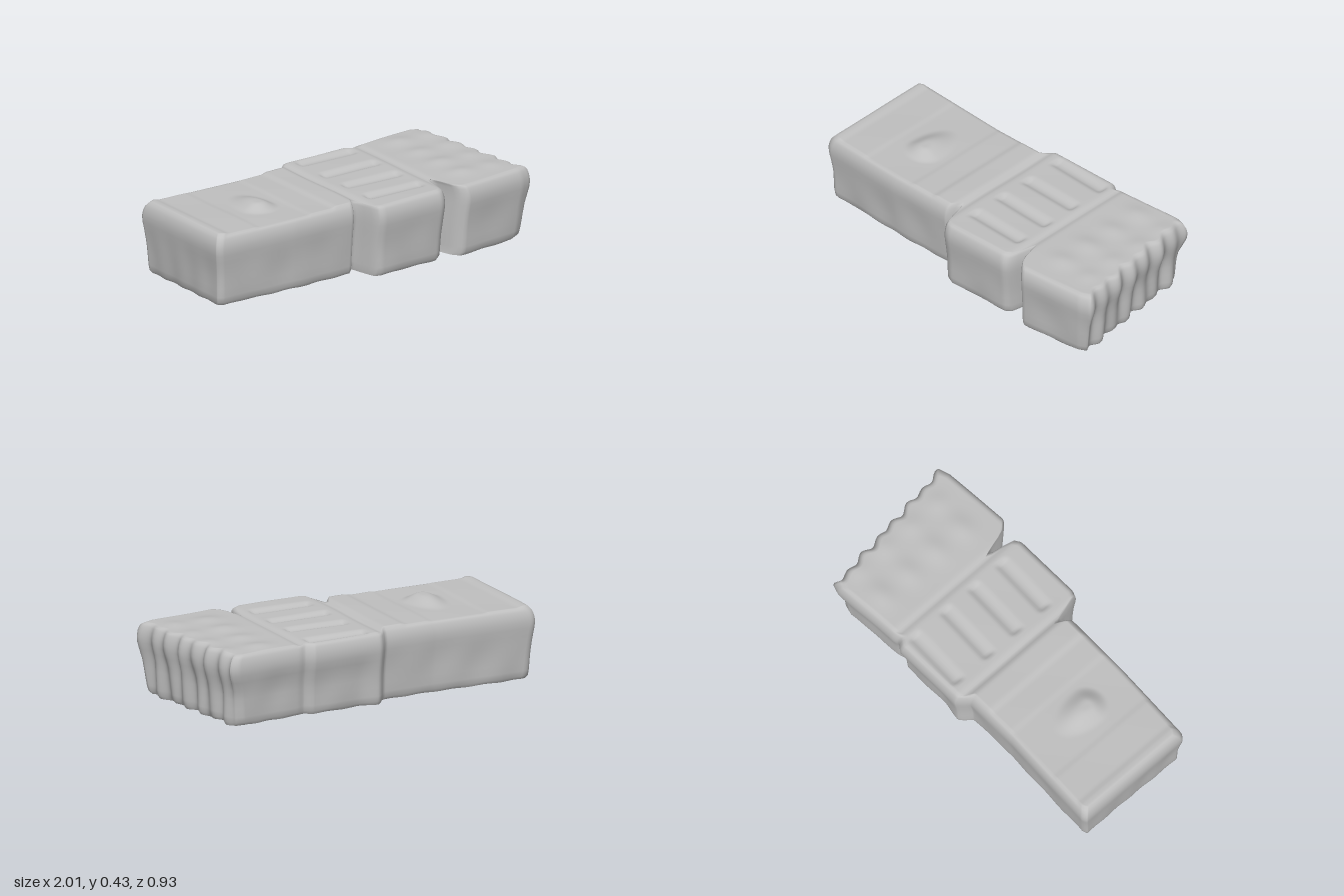
import * as THREE from 'three';

const { smoothstep, lerp } = THREE.MathUtils;

// Piecewise-linear lookup in [x, value] pairs
function lookup(points, x) {
  for (let i = 1; i < points.length; i++) {
    const [x0, v0] = points[i - 1], [x1, v1] = points[i];
    if (x <= x1) return lerp(v0, v1, Math.max(0, (x - x0) / (x1 - x0)));
  }
  return points[points.length - 1][1];
}

// Plan outline: three blocks along x, with notches between them
const X0 = -0.998, X1 = 0.95;
const frontEdge = [[-1, 0.335], [-0.975, 0.355], [-0.5, 0.36], [-0.11, 0.35], [-0.07, 0.28], [-0.05, 0.36],
  [-0.025, 0.45], [0.01, 0.463], [0.4, 0.445], [0.435, 0.42], [0.465, 0.25], [0.49, 0.33], [0.515, 0.42],
  [0.555, 0.46], [0.9, 0.418], [0.95, 0.395]];
const backEdge = [[-1, -0.345], [-0.975, -0.36], [-0.4, -0.352], [-0.09, -0.365], [-0.06, -0.4], [-0.035, -0.424],
  [0.38, -0.443], [0.42, -0.415], [0.46, -0.428], [0.9, -0.468], [0.95, -0.455]];

const bell = (d, width) => Math.exp(-(d * d) / (width * width));
const band = (v, c, half, soft) => 1 - smoothstep(Math.abs(v - c), half - soft, half + soft);

// Height of the upper surface
function topHeight(x, z) {
  let y = 0.4 + 0.002 * Math.sin(9 * x + 2) * Math.sin(11 * z);
  // long block: raised end strips and a lopsided knob, steep towards the front
  y += 0.008 * (band(x, -0.95, 0.03, 0.02) + band(x, -0.15, 0.07, 0.02));
  y -= 0.004 * band(x, -0.55, 0.17, 0.015);
  const knob = Math.hypot((x + 0.54) / 0.12, (z - 0.07) / (z > 0.07 ? 0.11 : 0.23));
  y += 0.037 * (1 - smoothstep(knob, 0.15, 1));
  // seams between the blocks
  y -= 0.01 * (bell(x + 0.055, 0.02) + bell(x - 0.44, 0.02));
  // middle block: four slots
  for (const c of [-0.345, -0.125, 0.075, 0.275])
    y -= 0.016 * band(z, c, 0.03, 0.022) * band(x, 0.2, 0.175, 0.015);
  // end block: rows of low pads
  for (const c of [-0.32, -0.13, 0.06, 0.25])
    y += 0.011 * bell(z - c, 0.06) * (bell(x - 0.66, 0.08) + 0.7 * bell(x - 0.85, 0.06));
  return y;
}

// Point in plan for u, t in 0..1, inset by o from the outline
function plan(u, t, o, y) {
  const xb = lerp(X0, X1, u);
  const low = 1 - smoothstep(y, 0.18, 0.3);
  // the lip overhangs along the back of the two wider blocks
  const backInset = o + 0.014 * low * smoothstep(xb, -0.04, 0.1);
  const z = lerp(lookup(backEdge, xb) + backInset, lookup(frontEdge, xb) - o, t);
  // slanted, lumpy far end, recessed below its lip
  const slant = smoothstep(xb, 0.5, X1);
  const lump = 0.011 * (Math.sin(z * 52 + 1) + 0.5 * Math.sin(z * 31 + y * 8) - 0.6);
  const x = lerp(X0 + o, X1 - o, u) + slant * 0.13 * z + Math.pow(slant, 6) * (lump - 0.014 * low);
  return [x, z];
}

function shellGeometry() {
  const nx = 150, nz = 70, pos = [], index = [];
  const id = (i, j) => i * (nz + 1) + j;

  // top surface
  for (let i = 0; i <= nx; i++) for (let j = 0; j <= nz; j++) {
    const [x, z] = plan(i / nx, j / nz, 0.034, 0.4);
    pos.push(x, topHeight(x, z), z);
    if (i < nx && j < nz) {
      index.push(id(i, j), id(i, j + 1), id(i + 1, j));
      index.push(id(i, j + 1), id(i + 1, j + 1), id(i + 1, j));
    }
  }

  // rim of the top, walked once around
  const rim = [];
  for (let j = 0; j < nz; j++) rim.push([0, j]);
  for (let i = 0; i < nx; i++) rim.push([i, nz]);
  for (let j = nz; j > 0; j--) rim.push([nx, j]);
  for (let i = nx; i > 0; i--) rim.push([i, 0]);

  // side walls: rings of [inset, height] going down to the open bottom
  const rings = [[0.021, 0.393], [0.012, 0.38], [0.004, 0.355], [0, 0.325], [0.002, 0.29], [0.007, 0.25],
    [0.012, 0.2], [0.016, 0.15], [0.019, 0.1], [0.022, 0.05], [0.026, 0.02], [0.038, 0]];
  let above = rim.map(([i, j]) => id(i, j));
  for (const [inset, y] of rings) {
    const ring = rim.map(([i, j]) => {
      const u = i / nx, t = j / nz;
      const wave = Math.sin(u * 29 + t * 5) * Math.cos(y * 15 + u * 7) + 0.6 * Math.sin(u * 47 + t * 23);
      const o = inset + 0.003 * (1 + wave) * (1 - smoothstep(y, 0.12, 0.33));
      const [x, z] = plan(u, t, o, y);
      const ragged = y > 0 ? 0 : 0.002 * (1 + Math.sin(u * 60 + t * 25));
      pos.push(x, y + ragged, z);
      return pos.length / 3 - 1;
    });
    for (let k = 0; k < ring.length; k++) {
      const n = (k + 1) % ring.length;
      index.push(above[k], ring[k], above[n], ring[k], ring[n], above[n]);
    }
    above = ring;
  }

  const geometry = new THREE.BufferGeometry();
  geometry.setAttribute('position', new THREE.Float32BufferAttribute(pos, 3));
  geometry.setIndex(index);
  geometry.computeVertexNormals();
  return geometry;
}

export function createModel() {
  const group = new THREE.Group();
  group.name = 'hollowBlock';
  const grey = new THREE.MeshStandardMaterial({ color: 0xbfbfbf, side: THREE.DoubleSide });
  grey.name = 'plain grey';
  const shell = new THREE.Mesh(shellGeometry(), grey);
  shell.name = 'shell';
  group.add(shell);
  return group;
}
